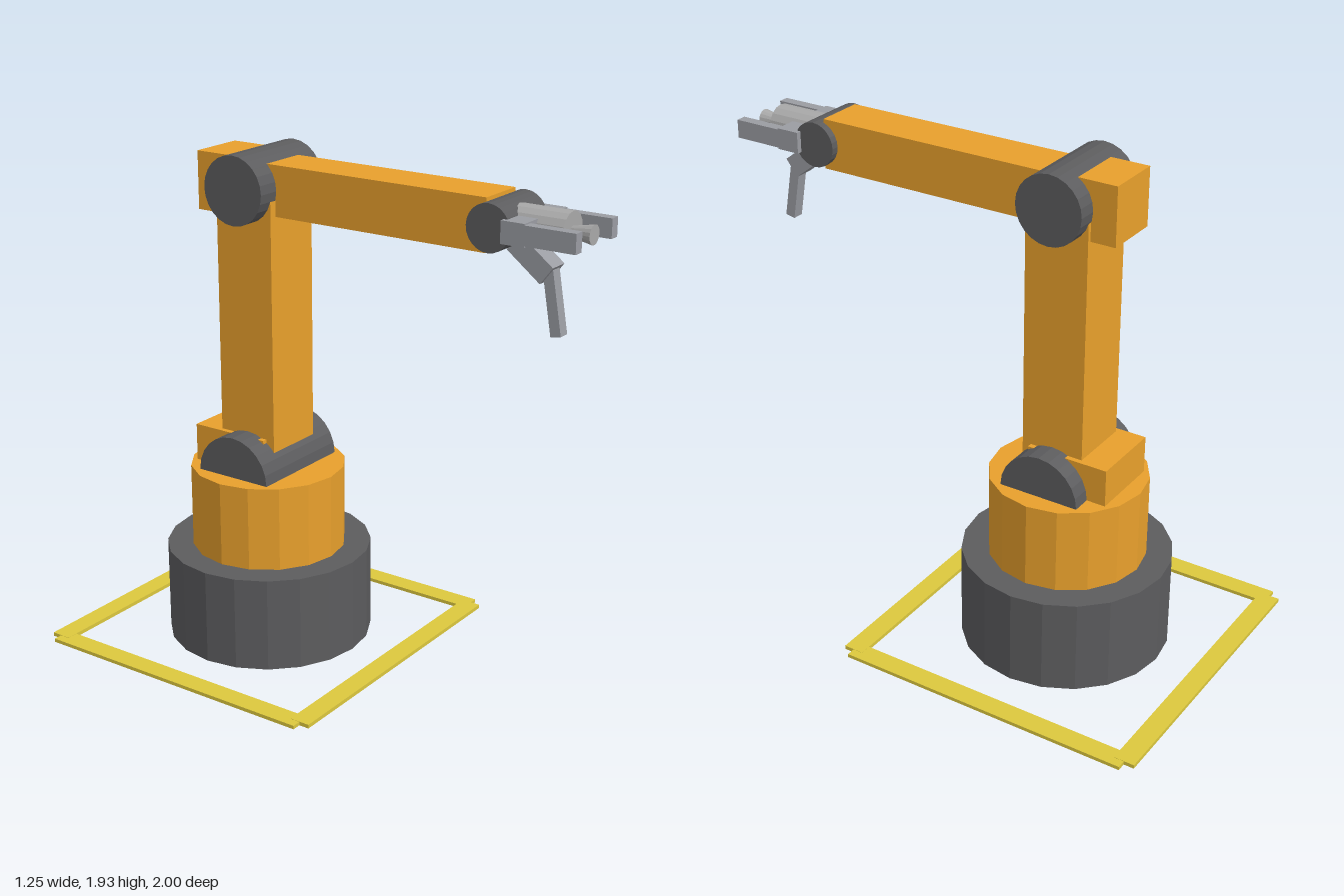
import * as THREE from 'three';

const paint = (color) => new THREE.MeshStandardMaterial({ color, flatShading: true });

export function createModel() {
  const model = new THREE.Group();
  const orange = paint(0xe8a02c);
  const dark = paint(0x5c5c5e);
  const yellow = paint(0xdcc83e);
  const steel = paint(0x9a9ca2);
  const lightSteel = paint(0xa8a8a8);

  const add = (name, geometry, material, x, y, z, parent = model) => {
    const mesh = new THREE.Mesh(geometry, material);
    mesh.name = name;
    mesh.position.set(x, y, z);
    parent.add(mesh);
    return mesh;
  };
  // box given by its width, its y range and its z range, centred on x
  const block = (name, material, width, y0, y1, z0, z1, x = 0, parent = model) =>
    add(name, new THREE.BoxGeometry(width, y1 - y0, z1 - z0), material, x, (y0 + y1) / 2, (z0 + z1) / 2, parent);
  // drum lying along x
  const drum = (name, radius, width, y, z) =>
    add(name, new THREE.CylinderGeometry(radius, radius, width, 24).rotateZ(Math.PI / 2), dark, 0, y, z);
  // round part pointing along +z
  const rod = (name, material, rBack, rFront, z0, z1, parent) =>
    add(name, new THREE.CylinderGeometry(rFront, rBack, z1 - z0, 16).rotateX(Math.PI / 2), material, 0, 1.8, (z0 + z1) / 2, parent);

  const axisZ = -0.37;

  // safety marking on the floor
  const marking = new THREE.Group();
  marking.name = 'floorMarking';
  model.add(marking);
  block('backStrip', yellow, 1.18, 0, 0.015, -1, -0.92, 0, marking);
  block('frontStrip', yellow, 1.18, 0, 0.015, 0.17, 0.25, 0, marking);
  for (const side of [-1, 1]) block('sideStrip', yellow, 0.08, 0, 0.014, -0.96, 0.21, side * 0.585, marking);

  // base and turret
  add('base', new THREE.CylinderGeometry(0.4, 0.4, 0.37, 20), dark, 0, 0.185, axisZ);
  add('turret', new THREE.CylinderGeometry(0.3, 0.3, 0.33, 16), orange, 0, 0.535, axisZ);

  // shoulder and upper arm
  drum('shoulderJoint', 0.16, 0.44, 0.7, axisZ);
  block('shoulderMotor', orange, 0.29, 0.66, 0.845, -0.605, -0.28);
  block('upperArm', orange, 0.25, 0.7, 1.8, -0.493, -0.245);

  // elbow and forearm
  drum('elbowJoint', 0.13, 0.37, 1.8, axisZ);
  block('elbowMotor', orange, 0.22, 1.69, 1.91, -0.59, -0.37);
  block('forearm', orange, 0.19, 1.705, 1.895, -0.37, 0.635);
  drum('wristJoint', 0.085, 0.25, 1.8, 0.66);

  // gripper
  const gripper = new THREE.Group();
  gripper.name = 'gripper';
  model.add(gripper);
  rod('barrel', lightSteel, 0.07, 0.07, 0.7, 0.91, gripper);
  rod('nozzle', lightSteel, 0.018, 0.035, 0.9, 0.99, gripper);
  block('palm', steel, 0.29, 1.76, 1.84, 0.72, 0.81, 0, gripper);
  for (const side of [-1, 1]) block('sideFinger', steel, 0.04, 1.765, 1.835, 0.8, 1, side * 0.125, gripper);

  // lower thumb: a slanted knuckle and a hanging finger
  const limb = (name, width, thick, from, to) => {
    const [y0, z0] = from, [y1, z1] = to;
    const length = Math.hypot(y1 - y0, z1 - z0);
    const mesh = add(name, new THREE.BoxGeometry(width, thick, length), steel, 0, (y0 + y1) / 2, (z0 + z1) / 2, gripper);
    mesh.rotation.x = -Math.atan2(y1 - y0, z1 - z0);
  };
  limb('thumbKnuckle', 0.08, 0.078, [1.745, 0.71], [1.645, 0.84]);
  limb('thumb', 0.045, 0.04, [1.67, 0.834], [1.435, 0.875]);

  return model;
}
